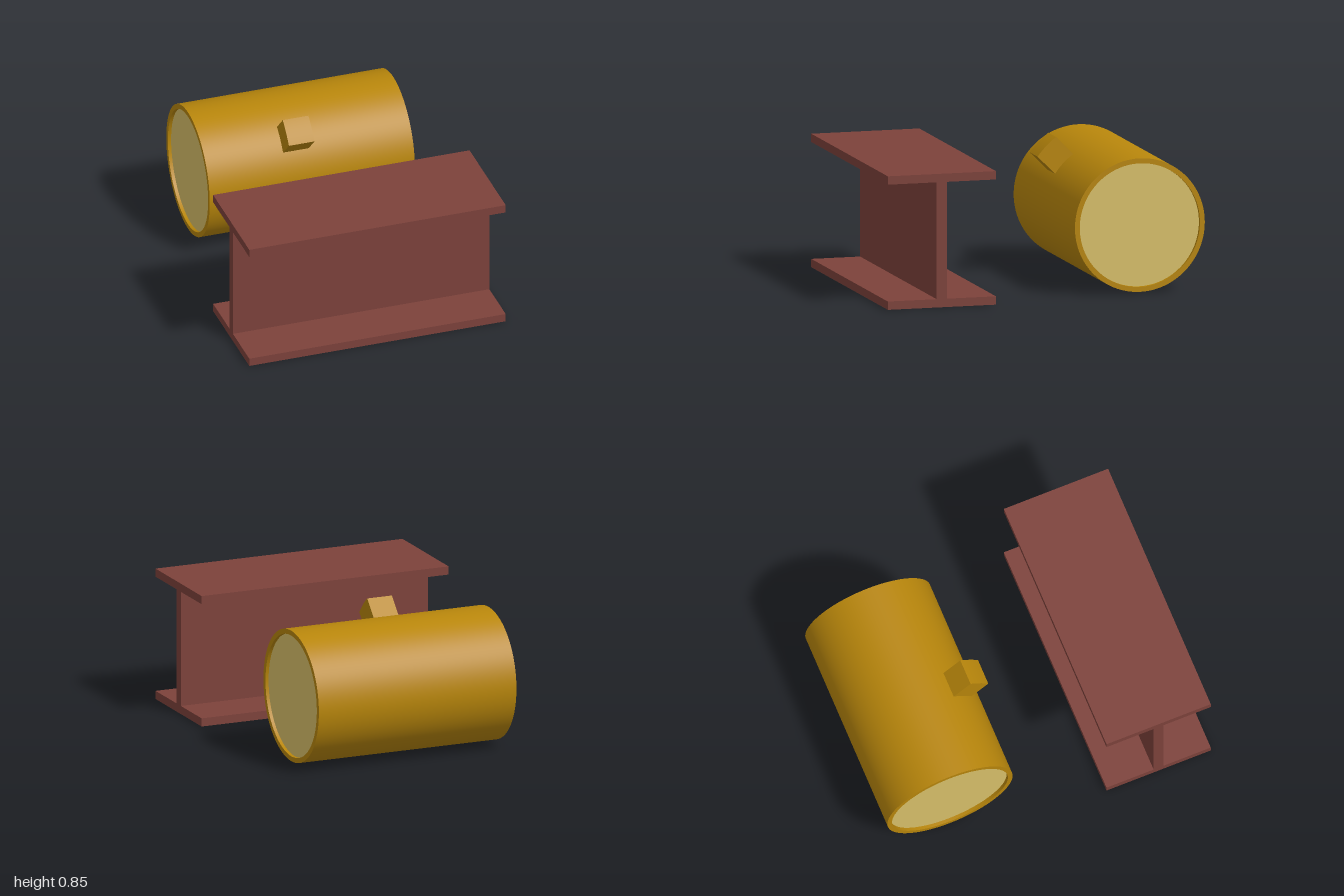
import * as THREE from 'three';

const paint = (color, side = THREE.FrontSide) => new THREE.MeshStandardMaterial({ color, side });

function addMesh(group, name, geometry, material) {
  const mesh = new THREE.Mesh(geometry, material);
  mesh.name = name;
  group.add(mesh);
  return mesh;
}

// Extrudes a (z, y) profile along x, centred on the given x
function extrudeAlongX(shape, length, centreX) {
  const geometry = new THREE.ExtrudeGeometry(shape, { depth: length, bevelEnabled: false, curveSegments: 64 });
  geometry.translate(0, 0, -length / 2);
  geometry.rotateY(-Math.PI / 2); // shape x -> +z, depth -> -x
  geometry.translate(centreX, 0, 0);
  return geometry;
}

function makeBeam() {
  const beam = new THREE.Group();
  beam.name = 'beam';
  const halfWidth = 0.333, height = 0.8, flange = 0.05, halfWeb = 0.032;
  // One half of the I profile; the other half is its mirror in reverse
  const half = [[halfWidth, 0], [halfWidth, flange], [halfWeb, flange],
    [halfWeb, height - flange], [halfWidth, height - flange], [halfWidth, height]];
  const outline = [...half, ...half.map(([z, y]) => [-z, y]).reverse()];
  const shape = new THREE.Shape(outline.map(([z, y]) => new THREE.Vector2(z, y)));
  addMesh(beam, 'beamProfile', extrudeAlongX(shape, 1.6, 0), paint(0x7d423b));
  beam.position.z = 0.667;
  return beam;
}

function makeDrum() {
  const drum = new THREE.Group();
  drum.name = 'drum';
  const gold = paint(0xb8860b), cream = paint(0xd8c06a);
  const radius = 0.4, inner = 0.37, halfLength = 0.64, recess = 0.02;

  // Closed shell: outer wall, rims and inner wall
  const shell = new THREE.Shape().absarc(0, 0, radius, 0, Math.PI * 2, false);
  shell.holes.push(new THREE.Path().absarc(0, 0, inner, 0, Math.PI * 2, true));
  const rim = extrudeAlongX(shell, halfLength * 2, 0);
  // Radial normals on the walls keep them smooth; flat rims stay untouched
  const p = rim.attributes.position, n = rim.attributes.normal;
  for (let i = 0; i < p.count; i++) {
    if (Math.abs(n.getX(i)) > 0.5) continue;
    const y = p.getY(i), z = p.getZ(i), r = Math.hypot(y, z);
    const s = r > (radius + inner) / 2 ? 1 / r : -1 / r;
    n.setXYZ(i, 0, y * s, z * s);
  }
  addMesh(drum, 'drumShell', rim, gold);

  // Recessed end discs
  for (const side of [-1, 1]) {
    const disc = addMesh(drum, side > 0 ? 'leftEndDisc' : 'rightEndDisc',
      new THREE.CircleGeometry(inner, 64), cream);
    disc.rotation.y = side * Math.PI / 2;
    disc.position.x = side * (halfLength - recess);
  }

  // Square stub on the shell with a curved outer face, tilted forward
  const halfStub = 0.08, reach = 0.55, a = Math.asin(halfStub / reach);
  const stub = new THREE.Shape();
  stub.moveTo(-halfStub, 0.385);
  stub.lineTo(halfStub, 0.385);
  stub.absarc(0, 0, reach, Math.PI / 2 - a, Math.PI / 2 + a, false);
  stub.closePath();
  const stubMesh = addMesh(drum, 'stub', extrudeAlongX(stub, 0.16, -0.08), gold);
  stubMesh.rotation.x = Math.PI / 4;

  drum.position.set(0, 0.407, -0.6);
  return drum;
}

export function createModel() {
  const model = new THREE.Group();
  model.name = 'beamAndDrum';
  model.add(makeBeam(), makeDrum());
  return model;
}
